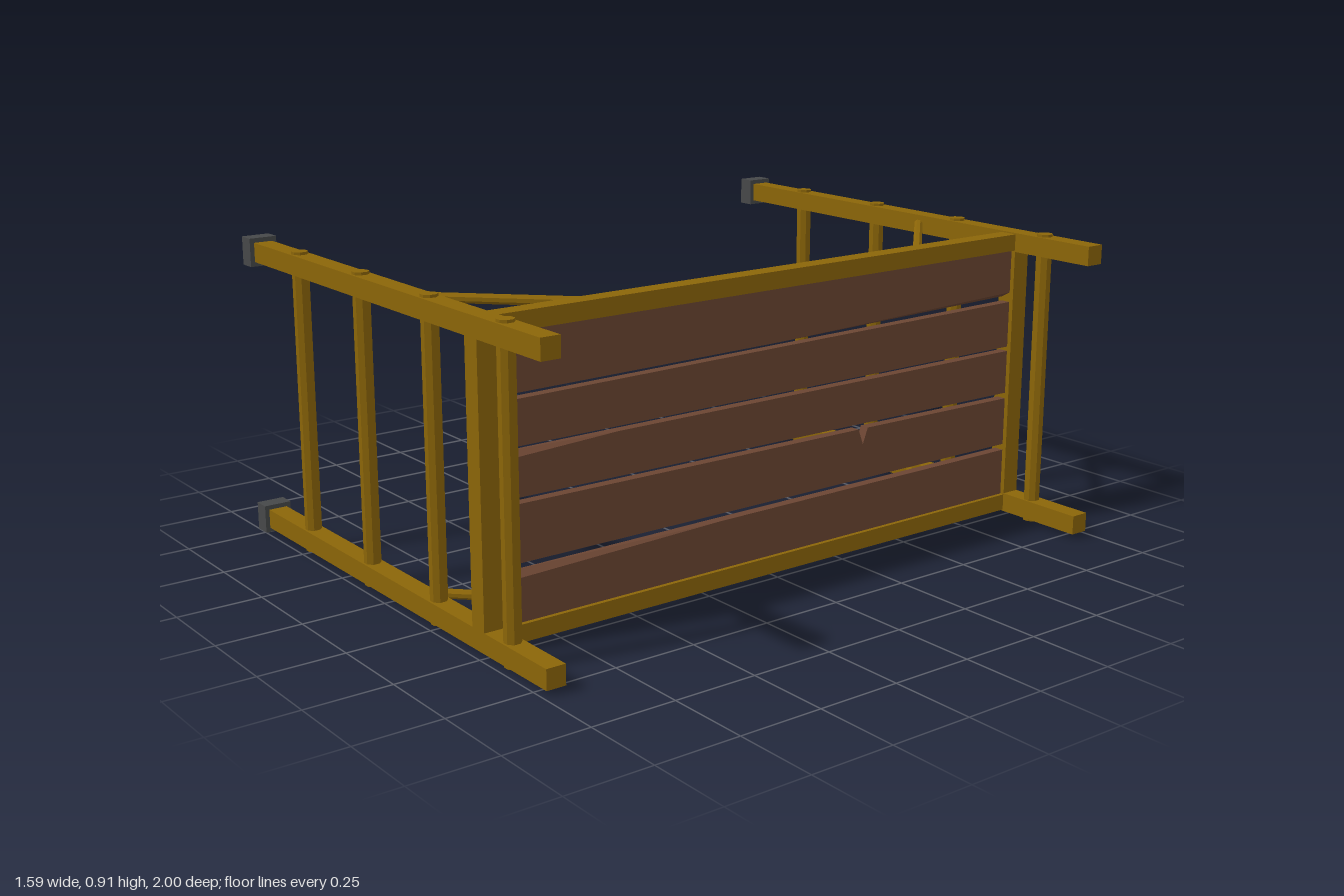
import * as THREE from 'three';

const RAIL_Y = [0.044, 0.874];
const SIDE_Z = 0.9575;
const DECK_X = 0.475;
const BAR = 0.058;

export function createModel() {
  const model = new THREE.Group();
  model.name = 'scaffold';
  const paint = new THREE.MeshStandardMaterial({ name: 'ochre paint', color: 0x8b6508 });
  const wood = new THREE.MeshStandardMaterial({ name: 'brown wood', color: 0x6b4532 });
  const rubber = new THREE.MeshStandardMaterial({ name: 'grey rubber', color: 0x464849 });

  const add = (name, geometry, material, x = 0, y = 0, z = 0) => {
    const mesh = new THREE.Mesh(geometry, material);
    mesh.name = name;
    mesh.position.set(x, y, z);
    model.add(mesh);
    return mesh;
  };

  // Eight-sided bar between two points, with flat sides
  const rod = (name, a, b, radius) => {
    const dir = b.clone().sub(a);
    const geometry = new THREE.CylinderGeometry(radius, radius, dir.length(), 8)
      .rotateY(Math.PI / 8).toNonIndexed();
    geometry.computeVertexNormals();
    const mid = a.clone().add(b).multiplyScalar(0.5);
    const mesh = add(name, geometry, paint, mid.x, mid.y, mid.z);
    mesh.quaternion.setFromUnitVectors(new THREE.Vector3(0, 1, 0), dir.normalize());
  };

  for (const s of [-1, 1]) {
    const z = s * SIDE_Z;
    for (const y of RAIL_Y) {
      // Ladder rails with end caps
      add('rail', new THREE.BoxGeometry(1.54, BAR, BAR), paint, 0.02, y, z);
      add('footCap', new THREE.BoxGeometry(0.052, 0.085, 0.085), rubber, -0.771, y, z);
      // Diagonal braces between rail and deck frame
      rod('brace', new THREE.Vector3(0.07, y, s * 0.945), new THREE.Vector3(0.465, y, s * 0.55), 0.014);
    }
    // Rungs poke slightly through the rails
    for (const x of [-0.505, -0.14, 0.228, 0.594]) {
      rod('rung', new THREE.Vector3(x, 0.006, z), new THREE.Vector3(x, 0.911, z), 0.0245);
    }
    // Deck frame end
    add('frameEnd', new THREE.BoxGeometry(BAR, 0.8, BAR), paint, DECK_X, 0.459, z);
  }

  // Deck frame long beams
  for (const y of RAIL_Y) {
    add('frameBeam', new THREE.BoxGeometry(BAR - 0.002, 0.05, 1.88), paint, DECK_X, y, 0);
  }

  // Worn planks: outline as [along, height]; chip = [along, height, lift] shifts one outer corner
  const E = 0.935;
  const planks = [
    { points: [[-E, 0.06], [E, 0.06], [E, 0.213], [-0.2, 0.21], [-E, 0.206]], chip: [-E, 0.206, -0.016] },
    { points: [[-E, 0.232], [E, 0.232], [E, 0.38], [0.348, 0.386], [0.33, 0.338], [0.312, 0.386], [-E, 0.393]] },
    { points: [[-E, 0.41], [E, 0.398], [E, 0.532], [-0.55, 0.532], [-E, 0.531]], chip: [-E, 0.531, -0.016] },
    { points: [[-E, 0.546], [E, 0.546], [E, 0.687], [-E, 0.67]] },
    { points: [[-E, 0.686], [0, 0.693], [E, 0.7], [E, 0.855], [-E, 0.855]], chip: [E, 0.7, 0.017] },
  ];
  const thick = 0.03;
  for (const { points, chip } of planks) {
    const shape = new THREE.Shape(points.map(([u, v]) => new THREE.Vector2(u, v)));
    const geometry = new THREE.ExtrudeGeometry(shape, { depth: thick, bevelEnabled: false });
    if (chip) {
      const p = geometry.attributes.position;
      for (let i = 0; i < p.count; i++) {
        const hit = Math.abs(p.getX(i) - chip[0]) < 1e-4 && Math.abs(p.getY(i) - chip[1]) < 1e-4;
        if (hit && p.getZ(i) > thick / 2) p.setY(i, chip[1] + chip[2]);
      }
      geometry.computeVertexNormals();
    }
    geometry.rotateY(Math.PI / 2);
    add('plank', geometry, wood, DECK_X - thick / 2, 0, 0);
  }

  return model;
}
